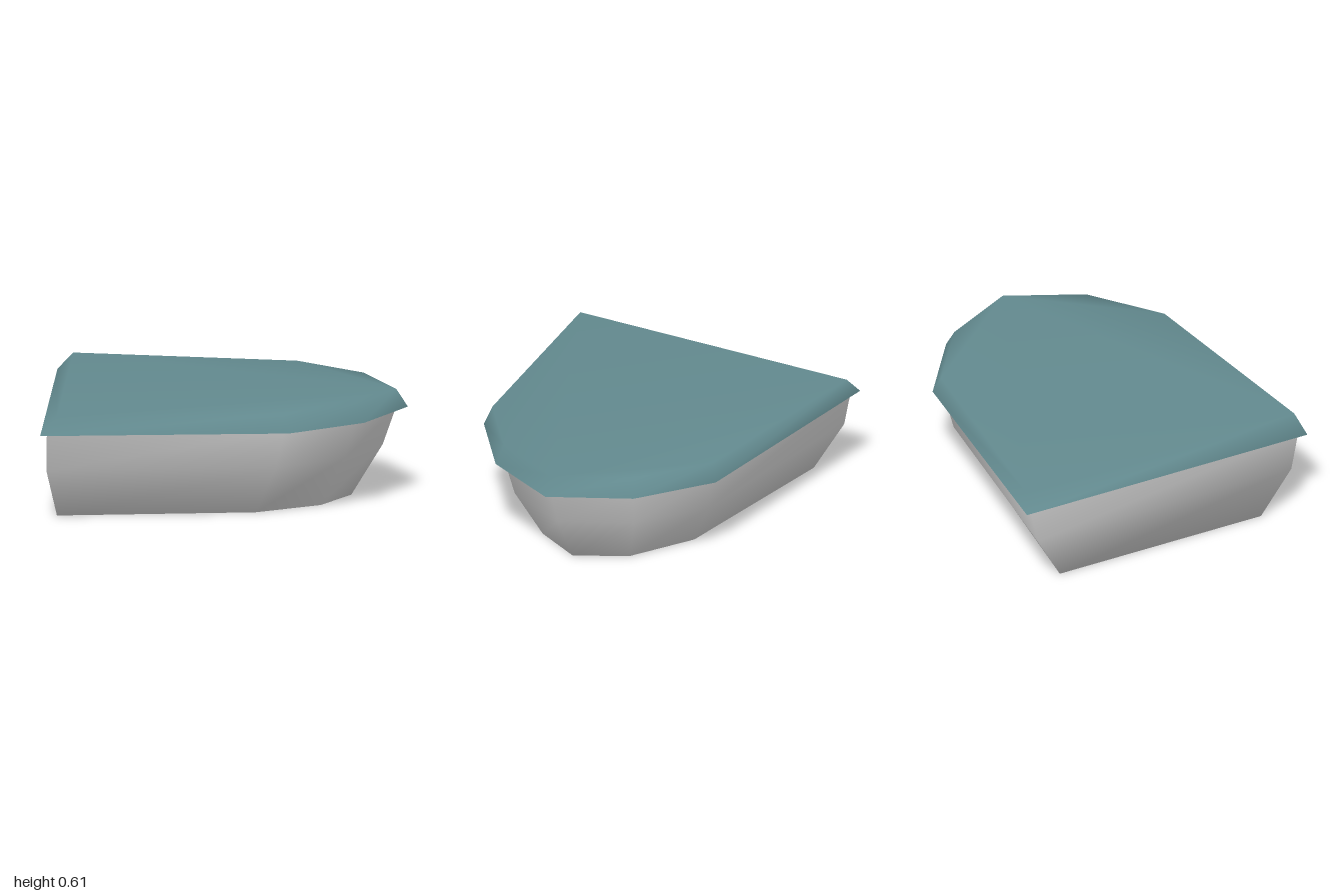
import * as THREE from 'three';

// Mirrors half an outline (transom corner, shoulder, knuckle, bow) into a full ring at height y
function ring(y, half) {
  const near = half.map(([x, z]) => [x, y, z]);
  const far = half.slice(0, -1).reverse().map(([x, z]) => [x, y, -z]);
  return [...near, ...far];
}

// Skins stacked rings; caps are fans from the bow point
function loft(rings, { bottom = false, top = false }) {
  const n = rings[0].length, bow = (n - 1) / 2, index = [];
  for (let r = 0; r < rings.length - 1; r++) {
    for (let i = 0; i < n; i++) {
      const a = r * n + i, b = r * n + (i + 1) % n;
      index.push(a, b, b + n, a, b + n, a + n);
    }
  }
  const last = (rings.length - 1) * n;
  for (let k = 1; k < n - 1; k++) {
    const p = (bow + k) % n, q = (bow + k + 1) % n;
    if (top) index.push(last + bow, last + p, last + q);
    if (bottom) index.push(bow, q, p);
  }
  const geometry = new THREE.BufferGeometry();
  geometry.setAttribute('position', new THREE.Float32BufferAttribute(rings.flat(2), 3));
  geometry.setIndex(index);
  geometry.computeVertexNormals();
  return geometry;
}

export function createModel() {
  const group = new THREE.Group();
  const grey = new THREE.MeshStandardMaterial({ name: 'light grey', color: 0xd2d2d2 });
  const teal = new THREE.MeshStandardMaterial({ name: 'dusty teal', color: 0x62898e });

  const add = (name, geometry, material) => {
    const mesh = new THREE.Mesh(geometry, material);
    mesh.name = name;
    group.add(mesh);
  };

  // Hull: flares from a narrow flat bottom to the deck line
  add('hull', loft([
    ring(0, [[-0.92, 0.635], [0.18, 0.49], [0.53, 0.28], [0.685, 0]]),
    ring(0.29, [[-0.97, 0.8], [0.3, 0.65], [0.67, 0.38], [0.86, 0]]),
    ring(0.505, [[-0.965, 0.845], [0.35, 0.69], [0.73, 0.41], [0.935, 0]]),
  ], { bottom: true }), grey);

  // Deck: overhanging bevelled rim with a flat top
  const rim = ring(0.505, [[-1, 0.885], [0.38, 0.74], [0.78, 0.44], [1, 0]]);
  add('deck', loft([
    rim,
    ring(0.605, [[-0.91, 0.85], [0.345, 0.705], [0.73, 0.415], [0.935, 0]]),
  ], { top: true }), teal);

  // Underside of the overhang
  add('deckUnderside', loft([rim], { bottom: true }), teal);

  return group;
}
